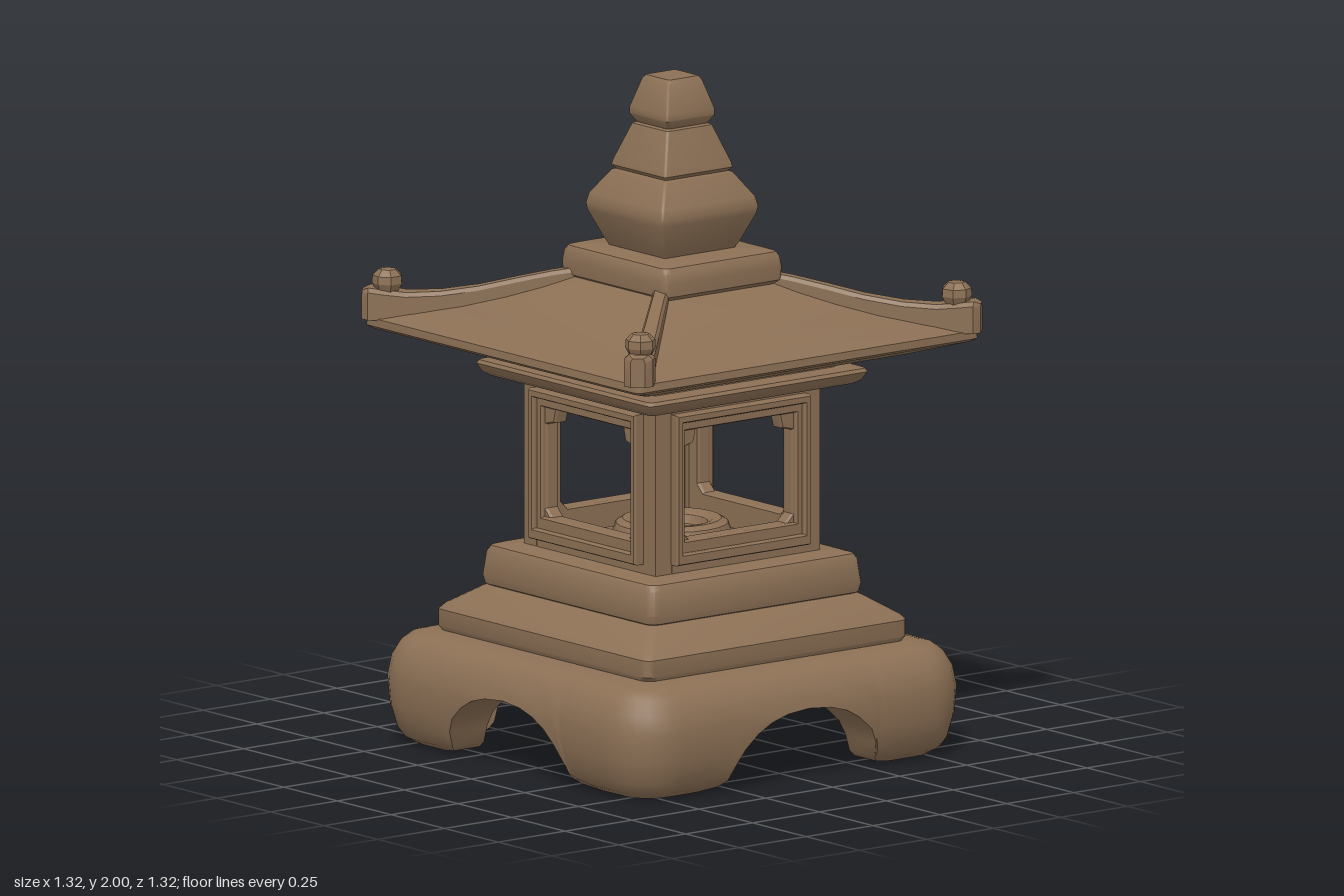
import * as THREE from 'three';
import { toCreasedNormals } from 'three/addons/utils/BufferGeometryUtils.js';

const stone = new THREE.MeshStandardMaterial({ color: 0x8c7055 });
stone.name = 'brownStone';

function add(parent, name, geometry) {
  const mesh = new THREE.Mesh(geometry, stone);
  mesh.name = name;
  parent.add(mesh);
  return mesh;
}

// Rounded square ring; ts are positions along half of each straight side
function ring(hw, r, y, ts = [hw - r], arc = 3) {
  const L = ts[ts.length - 1];
  const side = [...ts].reverse().map(t => [hw, -t]).concat(ts.filter(t => t > 0).map(t => [hw, t]));
  for (let i = 1; i < arc; i++) {
    const a = (i / arc) * Math.PI / 2;
    side.push([L + (hw - L) * Math.cos(a), L + (hw - L) * Math.sin(a)]);
  }
  const pts = [];
  for (let k = 0; k < 4; k++)
    for (let [x, z] of side) {
      for (let j = 0; j < k; j++) [x, z] = [-z, x];
      pts.push(new THREE.Vector3(x, y, z));
    }
  return pts;
}

// Skin a stack of rings and close both ends
function loft(rings, crease = 0.6) {
  const pos = [], n = rings[0].length;
  const tri = (...p) => p.forEach(v => pos.push(v.x, v.y, v.z));
  for (let j = 0; j < rings.length - 1; j++)
    for (let i = 0; i < n; i++) {
      const k = (i + 1) % n, a = rings[j], b = rings[j + 1];
      tri(a[i], b[i], b[k]);
      tri(a[i], b[k], a[k]);
    }
  const first = rings[0], last = rings[rings.length - 1];
  const mid = r => r.reduce((s, p) => s.add(p), new THREE.Vector3()).divideScalar(n);
  const c0 = mid(first), c1 = mid(last);
  for (let i = 0; i < n; i++) {
    const k = (i + 1) % n;
    tri(c0, first[i], first[k]);
    tri(c1, last[k], last[i]);
  }
  const g = new THREE.BufferGeometry();
  g.setAttribute('position', new THREE.Float32BufferAttribute(pos, 3));
  return toCreasedNormals(g, crease);
}

// Square tier from [half width, y] profile points
const tier = (profile, r) => loft(profile.map(([hw, y]) => ring(hw, r, y)));

// Linear lookup in a table of [input, output]
function lookup(table, v) {
  for (let i = 1; i < table.length; i++) {
    const [a, fa] = table[i - 1], [b, fb] = table[i];
    if (v <= b) return fa + (fb - fa) * Math.max(0, (v - a) / (b - a));
  }
  return table[table.length - 1][1];
}

// Hollow base: bulging skirt with an arch cut in each side, leaving four feet
function baseGeometry() {
  const arch = [[0, 0.217], [0.08, 0.21], [0.14, 0.193], [0.19, 0.165], [0.235, 0.125],
    [0.26, 0.08], [0.275, 0.03], [0.295, 0.012], [0.36, 0], [0.465, 0]];
  const bulge = [[0, 0.555], [0.02, 0.59], [0.05, 0.612], [0.12, 0.632], [0.2, 0.638],
    [0.26, 0.625], [0.3, 0.6], [0.322, 0.57], [0.332, 0.53]];
  const ts = arch.map(a => a[0]);
  const plan = ring(0.6, 0, 0, ts, 7);
  const bottom = plan.map(p => lookup(arch, Math.min(Math.abs(p.x), Math.abs(p.z))));
  const inner = plan.map(p => {
    const v = new THREE.Vector3(THREE.MathUtils.clamp(p.x, -0.48, 0.48), 0, THREE.MathUtils.clamp(p.z, -0.48, 0.48));
    const sum = Math.abs(v.x) + Math.abs(v.z);
    return sum > 0.82 ? v.multiplyScalar(0.82 / sum) : v;
  });
  const rings = [0, 0.5, 1].map(f =>
    inner.map((p, i) => new THREE.Vector3(p.x, 0.2 + (bottom[i] - 0.2) * f, p.z)));
  for (const f of [0, 0.06, 0.15, 0.35, 0.6, 0.78, 0.9, 0.97, 1])
    rings.push(plan.map((_, i) => {
      const y = bottom[i] + (0.332 - bottom[i]) * f;
      return ring(lookup(bulge, y), 0, y, ts, 7)[i];
    }));
  return loft(rings, 0.7);
}

// Rectangular frame with a rectangular opening; cut chamfers its corners
function frame(w, y0, y1, iw, iy0, iy1, depth, cut = 0) {
  const s = new THREE.Shape([[-w, y0], [w, y0], [w, y1], [-w, y1]].map(p => new THREE.Vector2(...p)));
  const c = cut, b = cut * 0.5;
  s.holes.push(new THREE.Path([
    [-iw, iy0 + b], [-iw, iy1 - c], [-iw + c * 0.8, iy1 - c * 0.8], [-iw + c, iy1],
    [iw - c, iy1], [iw - c * 0.8, iy1 - c * 0.8], [iw, iy1 - c],
    [iw, iy0 + b], [iw - b, iy0], [-iw + b, iy0]
  ].map(p => new THREE.Vector2(...p))));
  return new THREE.ExtrudeGeometry(s, {
    depth: depth - 0.008, bevelEnabled: true, bevelSize: 0.004, bevelThickness: 0.008, bevelOffset: -0.004, bevelSegments: 1
  });
}

export function createModel() {
  const model = new THREE.Group();
  model.name = 'stoneLantern';

  // Base and stepped plinth
  add(model, 'archedBase', baseGeometry()).scale.z = 1.01;
  add(model, 'lowerPlinth', tier([[0.475, 0.32], [0.49, 0.345], [0.49, 0.395], [0.478, 0.41], [0.4, 0.465], [0.38, 0.475]], 0.03)).scale.z = 1.015;
  add(model, 'upperPlinth', tier([[0.37, 0.46], [0.395, 0.475], [0.4, 0.5], [0.392, 0.57], [0.382, 0.588], [0.36, 0.595]], 0.03)).scale.z = 1.01;

  // Light chamber: corner posts and four framed windows
  const chamber = new THREE.Group();
  chamber.name = 'lightChamber';
  model.add(chamber);
  for (let k = 0; k < 4; k++) {
    const side = new THREE.Group();
    side.name = 'chamberSide' + (k + 1);
    side.rotation.y = k * Math.PI / 2;
    chamber.add(side);
    add(side, 'cornerPost', new THREE.BoxGeometry(0.06, 0.53, 0.06)).position.set(0.2775, 0.85, 0.2775);
    add(side, 'windowWall', frame(0.25, 0.59, 1.11, 0.205, 0.69, 1.015, 0.04, 0.05)).position.z = 0.268;
    add(side, 'outerFrame', frame(0.25, 0.622, 1.07, 0.228, 0.655, 1.045, 0.04)).position.z = 0.3;
    add(side, 'innerFrame', frame(0.232, 0.65, 1.05, 0.208, 0.69, 1.018, 0.03)).position.z = 0.292;
  }

  // Lamp dish on the chamber floor
  add(model, 'dishBase', tier([[0.2, 0.59], [0.2, 0.625], [0.185, 0.635]], 0.03));
  const dish = [[0.18, 0.63], [0.165, 0.67], [0.145, 0.682], [0.12, 0.68], [0.105, 0.67], [0.095, 0.645], [0, 0.64]];
  add(model, 'lampDish', toCreasedNormals(
    new THREE.LatheGeometry(dish.map(p => new THREE.Vector2(...p)), 24), 0.6));

  // Roof
  add(model, 'underRoofSlab', tier([[0.385, 1.095], [0.4, 1.105], [0.412, 1.13], [0.405, 1.14], [0.345, 1.143], [0.34, 1.17]], 0.02));
  const slope = [[0.2, 1.405], [0.28, 1.365], [0.36, 1.332], [0.45, 1.302], [0.55, 1.278], [0.638, 1.26]];
  add(model, 'roof', tier([[0.36, 1.15], [0.5, 1.187], [0.628, 1.228], [0.64, 1.237], ...[...slope].reverse()], 0.02));

  // Hip ridges with a rounded knob at each corner: [diagonal position, top y, half width]
  const ridge = [[0.19, 1.425, 0.024], [0.25, 1.41, 0.024], [0.32, 1.388, 0.025], [0.4, 1.361, 0.027],
    [0.48, 1.343, 0.03], [0.55, 1.338, 0.035], [0.595, 1.345, 0.044], [0.628, 1.35, 0.042], [0.642, 1.342, 0.022]];
  const ridgeShape = loft(ridge.map(([s, top, w]) => {
    const low = Math.max(lookup(slope, s) - 0.02, 1.256), d = w * Math.SQRT1_2;
    return [[1, low], [1, top - 0.012], [0.7, top], [-0.7, top], [-1, top - 0.012], [-1, low]]
      .map(([m, y]) => new THREE.Vector3(s + d * m, y, s - d * m));
  }).reverse(), 0.4);
  const knob = toCreasedNormals(new THREE.LatheGeometry(
    [[0.03, 1.33], [0.046, 1.362], [0.044, 1.385], [0.026, 1.403], [0, 1.408]].map(q => new THREE.Vector2(...q)), 7), 0.5);
  for (let k = 0; k < 4; k++) {
    const corner = new THREE.Group();
    corner.name = 'roofCorner' + (k + 1);
    corner.rotation.y = k * Math.PI / 2;
    model.add(corner);
    add(corner, 'hipRidge', ridgeShape);
    add(corner, 'cornerKnob', knob).position.set(0.59, 0, 0.59);
  }

  // Neck block and three-part finial
  add(model, 'roofNeck', tier([[0.205, 1.385], [0.222, 1.402], [0.224, 1.44], [0.22, 1.47], [0.212, 1.485], [0.195, 1.491]], 0.02)).scale.z = 1.1;
  add(model, 'finialLower', tier([[0.13, 1.485], [0.145, 1.515], [0.178, 1.595], [0.181, 1.615], [0.174, 1.645], [0.128, 1.715], [0.115, 1.72]], 0.008));
  add(model, 'finialMiddle', tier([[0.115, 1.715], [0.128, 1.73], [0.125, 1.745], [0.085, 1.855], [0.07, 1.862]], 0.008));
  add(model, 'finialTop', tier([[0.075, 1.858], [0.091, 1.885], [0.09, 1.905], [0.064, 1.99], [0.056, 2.0]], 0.008));

  return model;
}
